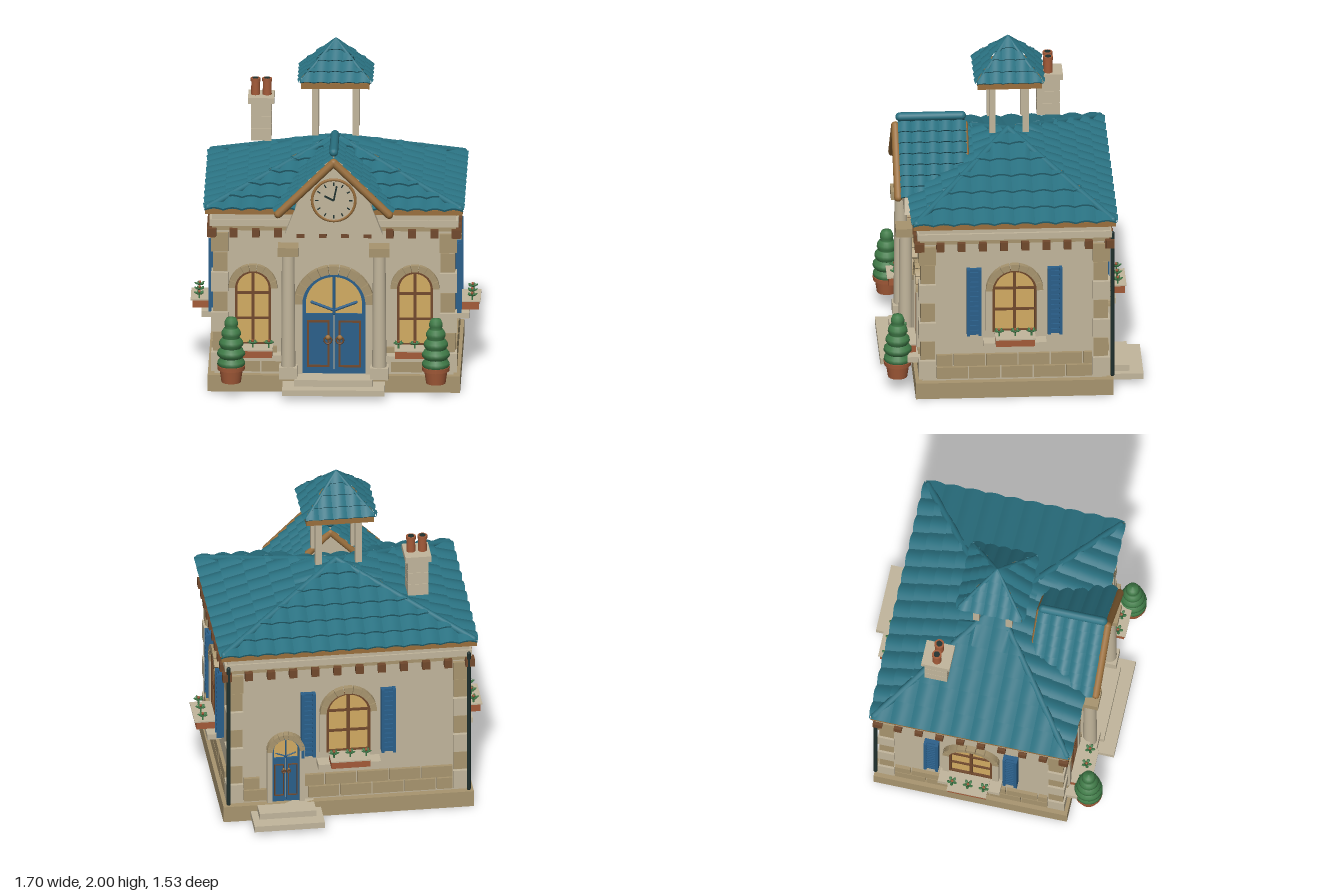
import * as THREE from 'three';
import { toCreasedNormals } from 'three/addons/utils/BufferGeometryUtils.js';

const material = (name, color, side = THREE.FrontSide) => {
  const m = new THREE.MeshStandardMaterial({ color, side });
  m.name = name;
  return m;
};
const M = {
  stone: material('pale stone', 0xc2b69c),
  tan: material('tan stone', 0xa8956f),
  teal: material('teal tile', 0x2a7282, THREE.DoubleSide),
  wood: material('golden wood', 0x9a6f3c),
  brown: material('dark wood', 0x71492c),
  blue: material('blue paint', 0x2a5f8a),
  glass: material('lit glass', 0xd2ab62),
  clay: material('terracotta', 0xa35a38),
  leaf: material('leaf green', 0x3f7a47),
  dark: material('dark iron', 0x1f302e),
};

function add(parent, name, geo, mat, x = 0, y = 0, z = 0) {
  const m = new THREE.Mesh(geo, mat);
  m.name = name;
  m.position.set(x, y, z);
  parent.add(m);
  return m;
}
// Box given by its limits on each axis
function box(parent, name, mat, x0, x1, y0, y1, z0, z1) {
  return add(parent, name, new THREE.BoxGeometry(x1 - x0, y1 - y0, z1 - z0), mat,
    (x0 + x1) / 2, (y0 + y1) / 2, (z0 + z1) / 2);
}
// Round bar between two points
function rod(parent, name, mat, a, b, r) {
  const p = new THREE.Vector3(...a), q = new THREE.Vector3(...b);
  const m = add(parent, name, new THREE.CapsuleGeometry(r, p.distanceTo(q), 4, 10), mat);
  m.position.copy(p).lerp(q, 0.5);
  m.quaternion.setFromUnitVectors(new THREE.Vector3(0, 1, 0), q.sub(p).normalize());
  return m;
}
function group(parent, name, x = 0, y = 0, z = 0, ry = 0) {
  const g = new THREE.Group();
  g.name = name;
  g.position.set(x, y, z);
  g.rotation.y = ry;
  parent.add(g);
  return g;
}
const extrude = (shape, depth) => new THREE.ExtrudeGeometry(shape, { depth, bevelEnabled: false, curveSegments: 16 });
function archShape(hw, y0, yc) {
  const s = new THREE.Shape();
  s.moveTo(-hw, y0);
  s.lineTo(hw, y0);
  s.lineTo(hw, yc);
  s.absarc(0, yc, hw, 0, Math.PI);
  s.lineTo(-hw, y0);
  return s;
}
function archFrame(hw, t, y0, yc, depth) {
  const s = archShape(hw, y0, yc);
  s.holes.push(archShape(hw - t, y0 + t, yc));
  return extrude(s, depth);
}
// Wedge stones around an arch, above straight jambs
function stoneArch(g, r, t, y0, yc, depth, n) {
  for (let i = 0; i < n; i++) {
    const a = (i + 0.04) * Math.PI / n, b = (i + 0.96) * Math.PI / n;
    const s = new THREE.Shape();
    s.absarc(0, 0, r + t, a, b, false);
    s.absarc(0, 0, r, b, a, true);
    add(g, 'archStone', extrude(s, depth), M.tan, 0, yc, 0);
  }
  for (const k of [-1, 1]) box(g, 'jamb', M.stone, Math.min(k * r, k * (r + t)), Math.max(k * r, k * (r + t)), y0, yc, 0, depth * 0.9);
}

// Barrel tiled slope: eave at z = run, rising to y = h at z = 0; hipped narrows to a point
function tiles(parent, w, run, h, barrels, courses, amp, hipped, x, y, z, ry) {
  const pos = [], idx = [], cols = barrels * 6, rows = courses * 3, len = Math.hypot(run, h);
  for (let k = 0; k < rows; k++) for (let i = 0; i <= cols; i++) {
    const px = -w + 2 * w * i / cols;
    const top = hipped ? 1 - Math.abs(px) / w : 1;
    const c = Math.floor(k / 3), row = (c + (k % 3 === 2 ? 1 : 0)) / courses;
    const v = Math.min(row, top);
    const lip = row <= top ? (k % 3 === 1 ? 1 : 0) : 1 - (v * courses) % 1;
    const off = amp * Math.abs(Math.sin(Math.PI * barrels * i / cols)) + amp * 0.8 * lip;
    pos.push(px, v * h + off * run / len, run * (1 - v) + off * h / len);
  }
  for (let k = 0; k < rows - 1; k++) for (let i = 0; i < cols; i++) {
    const a = k * (cols + 1) + i, d = a + cols + 1;
    idx.push(a, a + 1, d + 1, a, d + 1, d);
  }
  const g = new THREE.BufferGeometry();
  g.setAttribute('position', new THREE.Float32BufferAttribute(pos, 3));
  g.setIndex(idx);
  g.computeVertexNormals();
  add(parent, 'tiledSlope', toCreasedNormals(g, 0.7), M.teal, x, y, z).rotation.y = ry;
}
function hipRoof(parent, name, w, d, y, h, nx, nz, courses, amp, r) {
  const g = group(parent, name, 0, y, 0);
  for (const k of [0, 1]) {
    tiles(g, w, d, h, nx, courses, amp, true, 0, 0, 0, k * Math.PI);
    tiles(g, d, w, h, nz, courses, amp, true, 0, 0, 0, (k + 0.5) * Math.PI);
  }
  for (const sx of [-1, 1]) for (const sz of [-1, 1])
    rod(g, 'hipRidge', M.teal, [sx * (w - r), amp, sz * (d - r)], [0, h, 0], r);
}

function flowerBox(parent, y) {
  const g = group(parent, 'flowerBox', 0, y, 0);
  box(g, 'sill', M.stone, -0.185, 0.185, -0.035, 0, 0, 0.085);
  box(g, 'planter', M.clay, -0.115, 0.115, 0, 0.045, 0.03, 0.14);
  box(g, 'planterRim', M.stone, -0.118, 0.118, 0.045, 0.053, 0.025, 0.15);
  for (const x of [-0.095, 0, 0.095]) {
    const p = group(g, 'flower', x, 0.05, 0.1);
    rod(p, 'stem', M.leaf, [0, 0, 0], [0, 0.035, 0], 0.005);
    for (let i = 0; i < 5; i++) {
      const a = i * Math.PI * 2 / 5 + 0.3;
      const leaf = add(p, 'leaf', new THREE.SphereGeometry(0.016, 6, 4), M.leaf, Math.cos(a) * 0.018, 0.035, Math.sin(a) * 0.018);
      leaf.scale.set(1, 0.35, 0.6);
      leaf.rotation.set(0, -a, 0.5);
    }
    add(p, 'bloom', new THREE.SphereGeometry(0.009, 6, 5), M.clay, 0, 0.044, 0);
  }
}
function archWindow(parent, x, hw, y0, yc, shutters) {
  const g = group(parent, 'archedWindow', x, 0, 0), top = yc + hw;
  stoneArch(g, hw, 0.038, y0, yc, 0.035, 9);
  add(g, 'glass', extrude(archShape(hw, y0, yc), 0.008), M.glass);
  add(g, 'windowFrame', archFrame(hw, 0.014, y0, yc, 0.022), M.brown);
  box(g, 'mullion', M.brown, -0.009, 0.009, y0, top - 0.005, 0, 0.02);
  for (const f of [0.36, 0.7]) {
    const y = y0 + f * (top - y0);
    box(g, 'glazingBar', M.brown, -hw + 0.01, hw - 0.01, y - 0.007, y + 0.007, 0, 0.018);
  }
  flowerBox(g, y0 - 0.045);
  if (shutters) for (const k of [-1, 1]) {
    const s = group(g, 'shutter', k * 0.237, 0.61, 0);
    box(s, 'shutterPanel', M.blue, -0.04, 0.04, -0.21, 0.21, 0, 0.025);
    for (const e of [-1, 1]) box(s, 'shutterStile', M.blue, e * 0.034 - 0.009, e * 0.034 + 0.009, -0.212, 0.212, 0, 0.042);
    for (let i = 0; i < 13; i++) box(s, 'slat', M.blue, -0.028, 0.028, -0.195 + i * 0.031, -0.178 + i * 0.031, 0, 0.036);
  }
}
function archDoor(parent, x, hw, t, yc, panelTop) {
  const g = group(parent, 'archedDoor', x, 0, 0), y0 = 0.11, s = hw / 0.185;
  stoneArch(g, hw, t, y0, yc, 0.045, 11);
  add(g, 'fanlight', extrude(archShape(hw, panelTop, yc), 0.012), M.glass);
  add(g, 'doorFrame', archFrame(hw, 0.02 * s, y0, yc, 0.025), M.blue);
  rod(g, 'fanBar', M.blue, [0, panelTop, 0.02], [0, yc + hw - 0.01, 0.02], 0.009 * s);
  for (const k of [-1, 1]) {
    rod(g, 'fanBar', M.blue, [0, panelTop + 0.02 * s, 0.02], [k * 0.13 * s, panelTop + 0.07 * s, 0.02], 0.009 * s);
    const d = group(g, 'doorLeaf', k * hw / 2, 0, 0), w = hw * 0.36;
    box(d, 'leafPanel', M.blue, -hw / 2 + 0.003, hw / 2 - 0.003, y0, panelTop, 0, 0.025);
    const f = new THREE.Shape([[-w, y0 + 0.04], [w, y0 + 0.04], [w, panelTop - 0.04], [-w, panelTop - 0.04]].map(p => new THREE.Vector2(...p)));
    const b = 0.012 * s;
    f.holes.push(new THREE.Path([[-w + b, y0 + 0.04 + b], [-w + b, panelTop - 0.04 - b], [w - b, panelTop - 0.04 - b], [w - b, y0 + 0.04 + b]].map(p => new THREE.Vector2(...p))));
    add(d, 'panelMoulding', extrude(f, 0.033), M.brown);
    add(g, 'doorKnob', new THREE.SphereGeometry(0.016 * s, 10, 8), M.wood, k * 0.035 * s, 0.335, 0.045);
    add(g, 'knocker', new THREE.TorusGeometry(0.022 * s, 0.005, 6, 14), M.brown, k * 0.035 * s, 0.318, 0.04);
  }
}

export function createModel() {
  const root = new THREE.Group();
  root.name = 'townHall';
  // Body, base and cornice
  box(root, 'baseSlab', M.tan, -0.74, 0.74, 0, 0.1, -0.58, 0.58);
  box(root, 'walls', M.stone, -0.7, 0.7, 0.1, 1.09, -0.54, 0.54);
  box(root, 'frieze', M.tan, -0.715, 0.715, 0.98, 1.01, -0.555, 0.555);
  box(root, 'lowerCornice', M.stone, -0.73, 0.73, 1.01, 1.05, -0.57, 0.57);
  box(root, 'upperCornice', M.stone, -0.715, 0.715, 1.05, 1.09, -0.56, 0.56);
  box(root, 'fascia', M.wood, -0.755, 0.755, 1.09, 1.122, -0.595, 0.595);

  // Four sides: plinth blocks and eave brackets
  const sides = ['front', 'left', 'back', 'right'].map((n, i) => {
    const half = i % 2 ? 0.54 : 0.7, out = i % 2 ? 0.7 : 0.54, a = i * Math.PI / 2;
    const g = group(root, n + 'Side', Math.sin(a) * out, 0, Math.cos(a) * out, a);
    for (let row = 0; row < 2; row++) for (let x = -half + 0.08, j = 0; x < half - 0.1; j++) {
      const end = Math.min(x + (row && !j ? 0.1 : 0.19), half - 0.08), m = (x + end) / 2;
      const blocked = (i === 0 && Math.abs(m) < 0.24) || (i === 2 && Math.abs(m + 0.37) < 0.12);
      if (!blocked) box(g, 'plinthBlock', M.tan, x + 0.004, end - 0.004, 0.118 + row * 0.08, 0.19 + row * 0.08, 0, 0.02);
      x = end;
    }
    const count = i % 2 ? 10 : 12;
    for (let j = 0; j < count; j++) {
      const x = (half + 0.02) * (2 * j / (count - 1) - 1);
      box(g, 'eaveBracket', M.brown, x - 0.023, x + 0.023, 0.945, 0.995, -0.01, 0.045);
    }
    return g;
  });
  // Corner stones and rear drainpipes
  for (const sx of [-1, 1]) for (const sz of [-1, 1]) {
    for (let i = 0; i < 7; i++) {
      const s = i % 2 ? 0.085 : 0.1, p = i % 2 ? 0.01 : 0.02;
      add(root, 'cornerStone', new THREE.BoxGeometry(s, 0.115, s), i % 2 || i === 6 ? M.tan : M.stone,
        sx * (0.7 + p - s / 2), 0.175 + i * 0.122, sz * (0.54 + p - s / 2));
    }
    if (sz < 0) rod(root, 'drainpipe', M.dark, [sx * 0.71, 0.12, -0.575], [sx * 0.71, 1.03, -0.575], 0.012);
  }
  // Windows and doors
  for (const x of [-0.475, 0.475]) archWindow(sides[0], x, 0.105, 0.28, 0.63, false);
  for (const i of [1, 2, 3]) archWindow(sides[i], 0, 0.13, 0.415, 0.68, true);
  archDoor(sides[0], 0, 0.185, 0.05, 0.535, 0.475);
  archDoor(sides[2], -0.37, 0.08, 0.032, 0.45, 0.4);
  box(root, 'frontLowerStep', M.stone, -0.3, 0.3, 0.03, 0.065, 0.5, 0.765);
  box(root, 'frontUpperStep', M.stone, -0.23, 0.23, 0.065, 0.105, 0.5, 0.69);
  box(root, 'backLowerStep', M.stone, 0.165, 0.58, 0.025, 0.062, -0.765, -0.5);
  box(root, 'backUpperStep', M.stone, 0.205, 0.54, 0.062, 0.1, -0.685, -0.5);

  // Columns and potted trees
  const bush = [[0, 0.17]];
  [0.082, 0.083, 0.072, 0.058, 0.04].forEach((r, i) => {
    const y = 0.18 + i * 0.06;
    bush.push([r * 0.8, y], [r, y + 0.02], [r * 0.97, y + 0.038], [r * 0.74, y + 0.06]);
  });
  bush.push([0, 0.488]);
  const lathe = pts => new THREE.LatheGeometry(pts.map(p => new THREE.Vector2(...p)), 20);
  for (const k of [-1, 1]) {
    const c = group(root, 'column', k * 0.267, 0, 0.615);
    add(c, 'shaft', new THREE.CylinderGeometry(0.037, 0.042, 0.7, 20), M.stone, 0, 0.515, 0);
    box(c, 'columnBase', M.stone, -0.053, 0.053, 0.1, 0.17, -0.05, 0.05);
    box(c, 'capital', M.tan, -0.06, 0.06, 0.855, 0.908, -0.06, 0.06);
    const t = group(root, 'pottedTree', k * 0.6, 0, 0.68);
    add(t, 'pot', new THREE.CylinderGeometry(0.07, 0.057, 0.085, 20), M.clay, 0, 0.133, 0);
    add(t, 'potRim', new THREE.CylinderGeometry(0.082, 0.08, 0.025, 20), M.clay, 0, 0.18, 0);
    add(t, 'clippedBush', lathe(bush), M.leaf);
  }

  // Main roof
  hipRoof(root, 'mainRoof', 0.757, 0.597, 1.112, 0.28, 14, 10, 6, 0.016, 0.02);

  // Front gable with clock
  const gable = group(root, 'frontGable');
  const pts = [[-0.285, 0.98], [0.285, 0.98], [0.2, 1.2], [0, 1.41], [-0.2, 1.2]];
  add(gable, 'gableWall', extrude(new THREE.Shape(pts.map(p => new THREE.Vector2(...p))), 0.36), M.stone, 0, 0, 0.262);
  for (const k of [-1, 1]) {
    tiles(gable, 0.2, 0.34, 0.34, 5, 7, 0.016, false, 0, 1.112, 0.447, k * Math.PI / 2);
    rod(gable, 'frontBargeboard', M.wood, [0, 1.43, 0.662], [k * 0.325, 1.112, 0.662], 0.024);
    rod(gable, 'backBargeboard', M.wood, [0, 1.43, 0.255], [k * 0.18, 1.25, 0.255], 0.02);
  }
  rod(gable, 'gableRidge', M.teal, [0, 1.485, 0.272], [0, 1.485, 0.635], 0.026);
  const clock = group(gable, 'clock', 0, 1.19, 0.622);
  add(clock, 'clockFace', new THREE.CylinderGeometry(0.125, 0.125, 0.016, 40), M.stone, 0, 0, 0.004).rotation.x = Math.PI / 2;
  add(clock, 'clockRim', new THREE.TorusGeometry(0.126, 0.009, 8, 40), M.wood, 0, 0, 0.008);
  for (let i = 0; i < 12; i++) {
    const a = i * Math.PI / 6;
    add(clock, 'hourMark', new THREE.BoxGeometry(0.007, 0.02, 0.006), M.dark, Math.sin(a) * 0.1, Math.cos(a) * 0.1, 0.013).rotation.z = -a;
  }
  for (const [len, a] of [[0.09, 0.2], [0.06, -1.1]])
    add(clock, 'clockHand', new THREE.BoxGeometry(0.01, len, 0.006), M.dark, Math.sin(a) * len / 2, Math.cos(a) * len / 2, 0.016).rotation.z = -a;

  // Belfry
  for (const sx of [-0.118, 0.118]) for (const sz of [-0.098, 0.098])
    box(root, 'belfryPost', M.stone, sx - 0.019, sx + 0.019, 1.43, 1.74, sz - 0.019, sz + 0.019);
  box(root, 'belfryFascia', M.wood, -0.2, 0.2, 1.737, 1.772, -0.188, 0.188);
  hipRoof(root, 'belfryRoof', 0.208, 0.194, 1.772, 0.212, 5, 5, 4, 0.012, 0.012);

  // Chimney
  const ch = group(root, 'chimney', -0.443, 0, -0.258);
  for (let i = 0; i < 3; i++) box(ch, 'chimneyCourse', M.stone, -0.06, 0.06, 1.302 + i * 0.077, 1.375 + i * 0.077, -0.067, 0.067);
  box(ch, 'chimneyCore', M.stone, -0.057, 0.057, 1.305, 1.54, -0.064, 0.064);
  box(ch, 'chimneyCap', M.stone, -0.077, 0.077, 1.532, 1.568, -0.085, 0.085);
  for (const x of [-0.034, 0.034]) {
    add(ch, 'chimneyPot', new THREE.CylinderGeometry(0.024, 0.027, 0.1, 16), M.clay, x, 1.617, 0);
    add(ch, 'potCollar', new THREE.CylinderGeometry(0.029, 0.029, 0.02, 16), M.clay, x, 1.657, 0);
    add(ch, 'flue', new THREE.CylinderGeometry(0.018, 0.018, 0.005, 16), M.dark, x, 1.667, 0);
  }
  return root;
}
